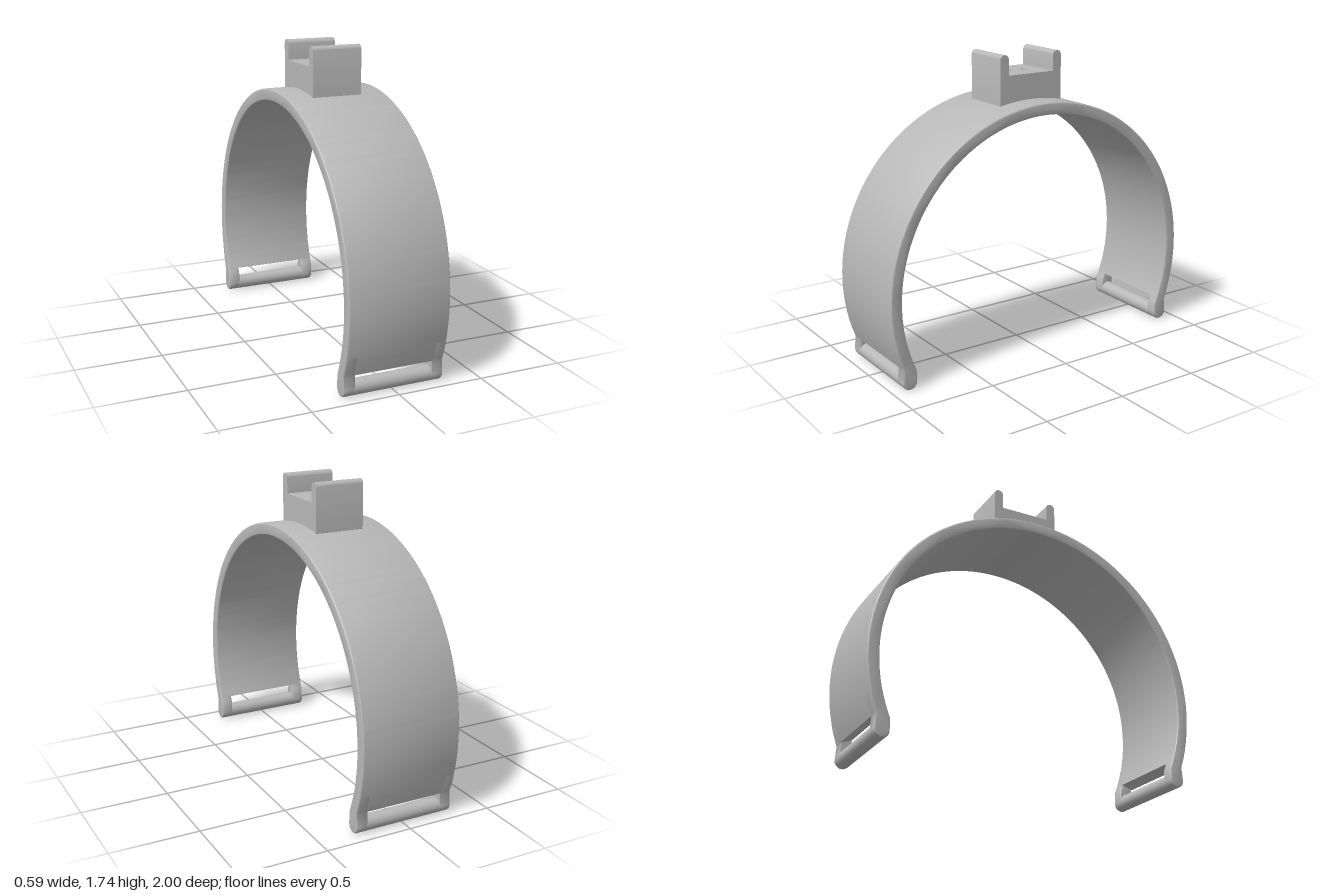
import * as THREE from 'three';
import { toCreasedNormals } from 'three/addons/utils/BufferGeometryUtils.js';

const CY = 0.48, R_OUT = 1, R_IN = 0.93, HALF_W = 0.295, SLOT = 0.225;
const rad = THREE.MathUtils.degToRad;

// Extrude a (z, y) profile along x between x0 and x1, with softened side edges
function extrudeX(shape, x0, x1, bevel, curveSegments) {
  const g = new THREE.ExtrudeGeometry(shape, {
    depth: x1 - x0 - 2 * bevel, curveSegments,
    bevelEnabled: bevel > 0, bevelThickness: bevel, bevelSize: bevel,
    bevelOffset: -bevel, bevelSegments: 3,
  });
  g.translate(0, 0, x0 + bevel);
  g.rotateY(Math.PI / 2);
  return toCreasedNormals(g, 0.5);
}

export function createModel() {
  const group = new THREE.Group();
  const plastic = new THREE.MeshStandardMaterial({ color: 0xb8b8b8 });
  plastic.name = 'grey plastic';
  const add = (name, geometry) => {
    const mesh = new THREE.Mesh(geometry, plastic);
    mesh.name = name;
    group.add(mesh);
    return mesh;
  };

  // Curved band, ending at the top of the strap slots
  const a0 = rad(-20.8), a1 = rad(200.8);
  const band = new THREE.Shape();
  band.absarc(0, CY, R_OUT, a0, a1, false);
  band.absarc(0, CY, R_IN, a1, a0, true);
  add('band', extrudeX(band, -HALF_W, HALF_W, 0.012, 72));

  // Tabs beside each slot, and the round bar below it
  const bz = 0.896, br = 0.044;
  for (const side of [1, -1]) {
    const tab = new THREE.Shape();
    tab.absarc(0, CY, R_IN, rad(-23.4), rad(-14), false);
    tab.absarc(0, CY, R_OUT, rad(-14), rad(-20.9), true);
    tab.absarc(bz, br, br, 0, -Math.PI, true);
    tab.closePath();
    for (const [x0, x1] of [[SLOT, HALF_W], [-HALF_W, -SLOT]]) {
      const g = extrudeX(tab, x0, x1, 0.01, 12);
      if (side < 0) g.rotateY(Math.PI).translate(0, 0, 0);
      add('endTab', g);
    }
    const bar = new THREE.CylinderGeometry(br, br, 2 * SLOT + 0.04, 24);
    bar.rotateZ(Math.PI / 2);
    add('strapBar', bar).position.set(0, br, side * bz);
  }

  // Cradle on top: U-shaped profile with rounded lips
  const hx = 0.147, hz = 0.205, lip = 0.0275, top = 1.74, floorY = 1.625, under = 1.585;
  const cradle = new THREE.Shape();
  cradle.moveTo(-hz, 1.45);
  cradle.lineTo(hz, 1.45);
  cradle.absarc(hz - lip, top - lip, lip, 0, Math.PI, false);
  cradle.lineTo(hz - 2 * lip, under);
  cradle.lineTo(-hz + 2 * lip, under);
  cradle.absarc(-hz + lip, top - lip, lip, 0, Math.PI, false);
  cradle.closePath();
  add('cradle', extrudeX(cradle, -hx, hx, 0, 12));

  // Cradle floor with two small blind holes
  const iz = hz - 2 * lip;
  const floor = new THREE.Shape();
  floor.moveTo(-hx, -iz);
  floor.lineTo(hx, -iz);
  floor.lineTo(hx, iz);
  floor.lineTo(-hx, iz);
  floor.closePath();
  for (const z of [-0.05, 0.05]) {
    const hole = new THREE.Path();
    hole.absarc(0, z, 0.017, 0, Math.PI * 2, true);
    floor.holes.push(hole);
  }
  const floorGeometry = new THREE.ExtrudeGeometry(floor, {
    depth: floorY - under, bevelEnabled: false, curveSegments: 10,
  });
  floorGeometry.rotateX(-Math.PI / 2).translate(0, under, 0);
  add('cradleFloor', toCreasedNormals(floorGeometry, 0.7));

  return group;
}
